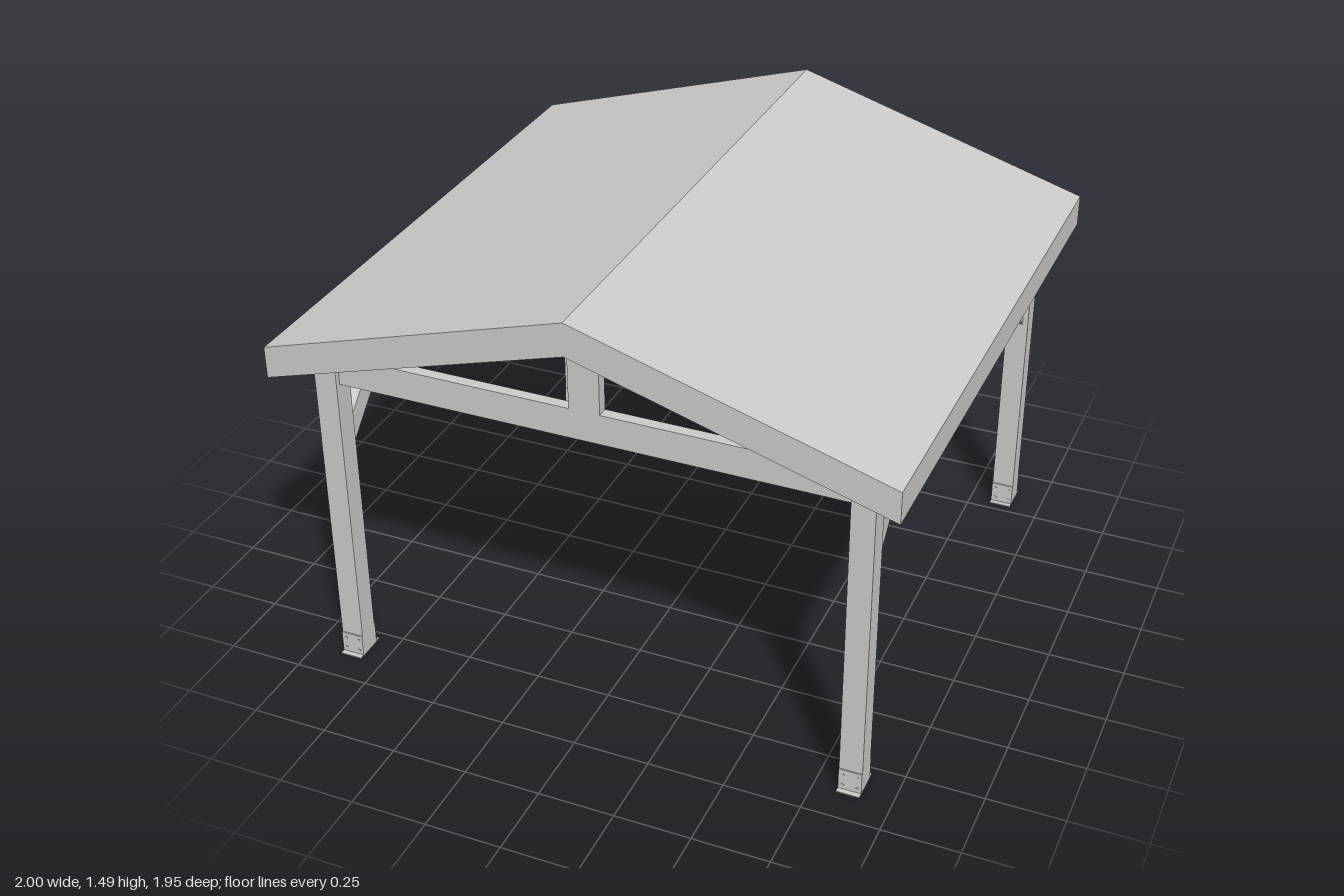
import * as THREE from 'three';

const POST = 0.075;          // square post section
const THIN = 0.0375;         // thickness of beams and braces
const PX = 0.8625, PZ = 0.8375; // post centres
const under = x => 1.378 - 0.298 * Math.abs(x); // underside of the roof

const material = new THREE.MeshStandardMaterial({ color: 0xcccccc, flatShading: true });

export function createModel() {
  const model = new THREE.Group();

  const add = (name, geometry, parent = model, x = 0, y = 0, z = 0) => {
    const mesh = new THREE.Mesh(geometry, material);
    mesh.name = name;
    mesh.position.set(x, y, z);
    parent.add(mesh);
    return mesh;
  };
  // Outline in x/y, extruded along z and centred on z = 0
  const slab = (points, depth) => {
    const shape = new THREE.Shape(points.map(p => new THREE.Vector2(...p)));
    return new THREE.ExtrudeGeometry(shape, { depth, bevelEnabled: false }).translate(0, 0, -depth / 2);
  };

  // Gable roof
  add('roof', slab([[-1, 1.08], [0, 1.378], [1, 1.08], [1, 1.185], [0, 1.487], [-1, 1.185]], 1.95));

  // Trusses: tie beam and king post at each end
  for (const sz of [1, -1]) {
    const truss = new THREE.Group();
    truss.name = sz > 0 ? 'frontTruss' : 'backTruss';
    truss.position.z = sz * PZ;
    model.add(truss);
    add('tieBeam', new THREE.BoxGeometry(1.65, 0.1, THIN), truss, 0, 1.08, 0);
    add('kingPost', slab([[-0.05, 1.13], [0.05, 1.13], [0.05, under(0.05)], [0, under(0)], [-0.05, under(0.05)]], THIN), truss);
  }

  // Posts with foot brackets and diagonal braces
  const inner = PX - POST / 2, outer = PX + POST / 2;
  for (const sx of [1, -1]) for (const sz of [1, -1]) {
    const corner = new THREE.Group();
    corner.name = (sz > 0 ? 'front' : 'back') + (sx > 0 ? 'Left' : 'Right') + 'Corner';
    corner.position.set(sx * PX, 0, sz * PZ);
    model.add(corner);

    // Post top follows the roof slope
    const profile = [[inner, 0.004], [outer, 0.004], [outer, under(outer)], [inner, under(inner)]]
      .map(([x, y]) => [sx * (x - PX), y]);
    add('post', slab(profile, POST), corner);

    // Brace rises at 45 degrees from the post to the roof
    const brace = slab([[-POST / 2, 0.75], [-POST / 2, 0.85], [-0.3125, 1.125], [-0.4125, 1.125]], THIN);
    brace.rotateY(sz > 0 ? -Math.PI / 2 : Math.PI / 2);
    add('brace', brace, corner);

    // Foot bracket: base plate, two side plates and bolts
    add('basePlate', new THREE.BoxGeometry(POST, 0.004, 0.118), corner, 0, 0.002, 0);
    for (const side of [1, -1]) {
      add('bracketPlate', new THREE.BoxGeometry(POST, 0.074, 0.004), corner, 0, 0.041, side * (POST / 2 + 0.002));
      for (const bx of [-0.023, 0.023]) for (const by of [0.02, 0.06]) {
        const bolt = new THREE.CylinderGeometry(0.005, 0.005, 0.003, 8).rotateX(Math.PI / 2);
        add('bolt', bolt, corner, bx, by, side * (POST / 2 + 0.0045));
      }
    }
  }
  return model;
}
